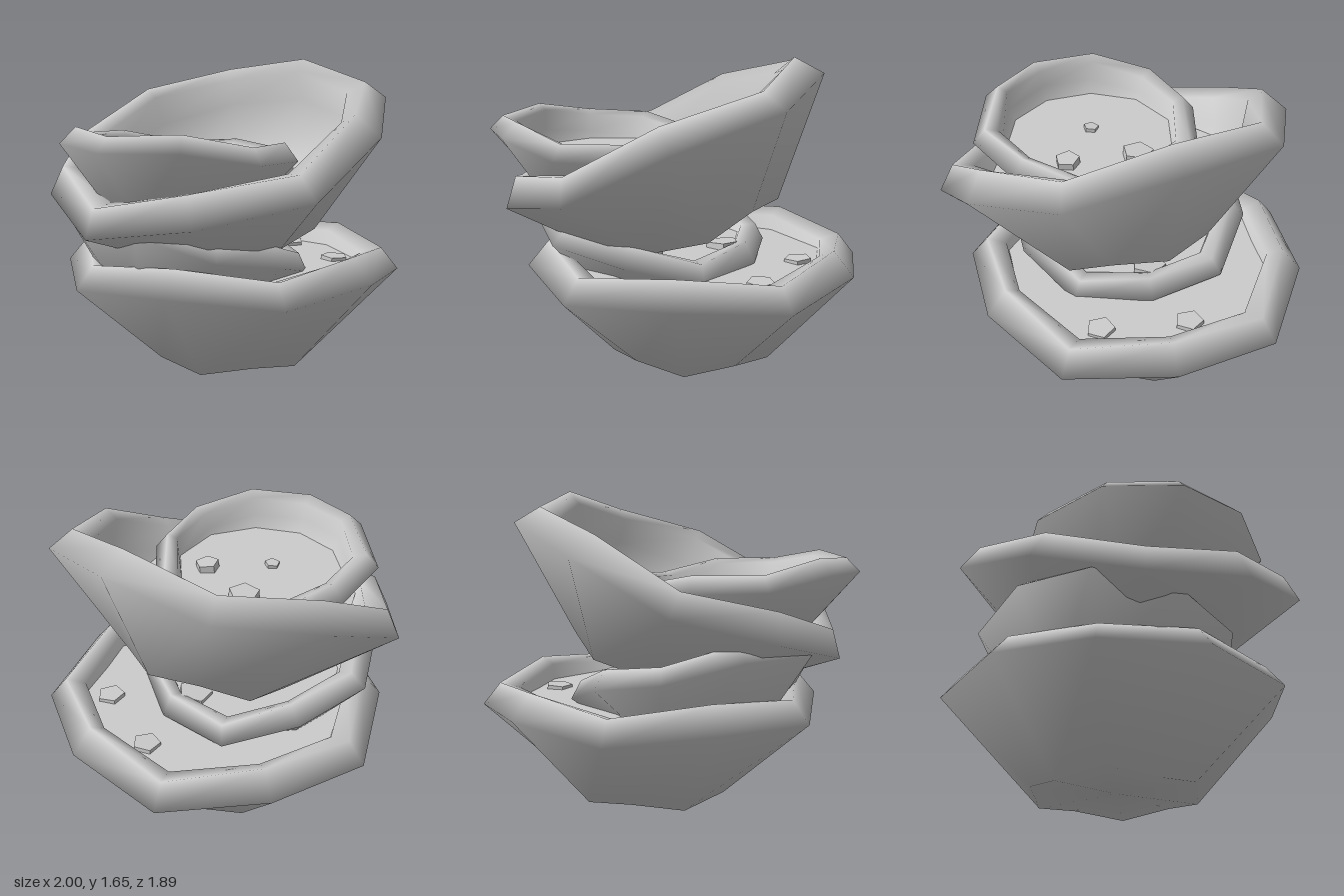
import * as THREE from 'three';

const SIDES = 10;
const rad = THREE.MathUtils.degToRad;
const material = new THREE.MeshStandardMaterial({ color: 0xcccccc });
const chunkMaterial = new THREE.MeshStandardMaterial({ color: 0xcccccc, flatShading: true });

// Bowl cross-section, base to rim to inside floor. Each row: radius and height
// at even corners, then at odd corners, which gives the uneven hand-made rim.
const PROFILE = [
  [0.45, 0.0, 0.45, 0.04],
  [0.91, 0.53, 0.945, 0.49],
  [0.80, 0.66, 0.85, 0.61],
  [0.72, 0.62, 0.74, 0.58],
  [0.71, 0.45, 0.71, 0.44],
  [0.50, 0.13, 0.50, 0.13],
];
const FIRST_INNER = 3;

function ringPoint(row, j, phase) {
  const odd = j % 2 ? 2 : 0;
  const a = rad(phase + (j * 360) / SIDES);
  return new THREE.Vector3(row[odd] * Math.cos(a), row[odd + 1], row[odd] * Math.sin(a));
}

function buildGeometry(points, index) {
  const g = new THREE.BufferGeometry().setFromPoints(points);
  g.setIndex(index);
  g.computeVertexNormals();
  return g;
}

// One smooth closed shell: underside, outer wall, rim, inner wall and floor
function makeBowl(phase) {
  const points = [];
  const index = [];
  for (const row of PROFILE) {
    for (let j = 0; j < SIDES; j++) points.push(ringPoint(row, j, phase));
  }
  const under = points.push(new THREE.Vector3(0, 0.03, 0)) - 1;
  const floor = points.push(new THREE.Vector3(0, 0.13, 0)) - 1;
  const last = (PROFILE.length - 1) * SIDES;
  for (let j = 0; j < SIDES; j++) {
    const k = (j + 1) % SIDES;
    for (let i = 0; i < last; i += SIDES) {
      const a = i + j, b = i + k;
      index.push(a, a + SIDES, b, b, a + SIDES, b + SIDES);
    }
    index.push(under, j, k, floor, last + k, last + j);
  }
  return new THREE.Mesh(buildGeometry(points, index), material);
}

// Level liquid surface: cut the tilted inner wall at a constant height
function makeSoup(bowl, phase, level) {
  bowl.updateMatrixWorld(true);
  const inner = PROFILE.slice(FIRST_INNER);
  const ring = [];
  const index = [];
  for (let j = 0; j < SIDES; j++) {
    const wall = inner.map((row) => ringPoint(row, j, phase).applyMatrix4(bowl.matrixWorld));
    const p = wall[0].y < level ? wall[0].clone() : wall.at(-1).clone();
    for (let i = 0; i < wall.length - 1; i++) {
      const hi = wall[i], lo = wall[i + 1];
      if (hi.y >= level && lo.y < level) {
        p.lerpVectors(lo, hi, (level - lo.y) / (hi.y - lo.y));
        break;
      }
    }
    p.y = level;
    ring.push(p);
    index.push(SIDES, (j + 1) % SIDES, j);
  }
  const centre = ring.reduce((s, p) => s.add(p), new THREE.Vector3()).divideScalar(SIDES);
  const soup = new THREE.Mesh(buildGeometry([...ring, centre], index), material);
  soup.name = 'soupSurface';
  return soup;
}

// Five-sided food piece floating in the soup
function makeChunk([x, z, r, lift], level, n) {
  const geometry = new THREE.CylinderGeometry(r * 0.95, r, 0.1, 5);
  const chunk = new THREE.Mesh(geometry, chunkMaterial);
  chunk.name = 'foodChunk';
  chunk.position.set(x, level - 0.05 + lift, z);
  chunk.rotation.set(0.06 * Math.sin(n * 2.1), n * 1.3, 0.06 * Math.cos(n * 1.7));
  return chunk;
}

export function createModel() {
  const model = new THREE.Group();
  model.name = 'bowlStack';

  // chunks: x, z, radius, height above the soup
  const stack = [
    {
      name: 'bottomLargeBowl', scale: 1, phase: 18, at: [0.1, 0, 0], tilt: [0, 0], level: 0.53,
      chunks: [[0.68, 0.03, 0.08, 0.02], [0.49, 0.45, 0.08, 0.02]],
    },
    {
      name: 'bottomSmallBowl', scale: 0.73, phase: 20, at: [-0.25, 0.33, -0.15], tilt: [8, -13], level: 0.6,
      chunks: [[0.27, 0.03, 0.1, 0.03], [-0.1, 0.25, 0.07, 0.03]],
    },
    {
      name: 'topLargeBowl', scale: 1.015, phase: 7, at: [0.145, 0.715, 0.035], tilt: [0, 23], level: 1.02,
      chunks: [[0.27, -0.22, 0.08, 0.04], [0.3, 0.2, 0.08, 0.04]],
    },
    {
      name: 'topSmallBowl', scale: 0.68, phase: -5, at: [-0.41, 0.83, 0.035], tilt: [0, -7], level: 1.11,
      chunks: [[-0.03, -0.08, 0.09, 0.05], [-0.17, 0.27, 0.07, 0.04], [-0.41, 0, 0.045, 0.02]],
    },
  ];

  let n = 0;
  for (const { name, scale, phase, at, tilt, level, chunks } of stack) {
    const group = new THREE.Group();
    group.name = name;
    const bowl = makeBowl(phase);
    bowl.name = 'bowl';
    bowl.position.set(...at);
    bowl.rotation.set(rad(tilt[0]), 0, rad(tilt[1]));
    bowl.scale.setScalar(scale);
    group.add(bowl, makeSoup(bowl, phase, level));
    for (const chunk of chunks) group.add(makeChunk(chunk, level, n++));
    model.add(group);
  }
  return model;
}
